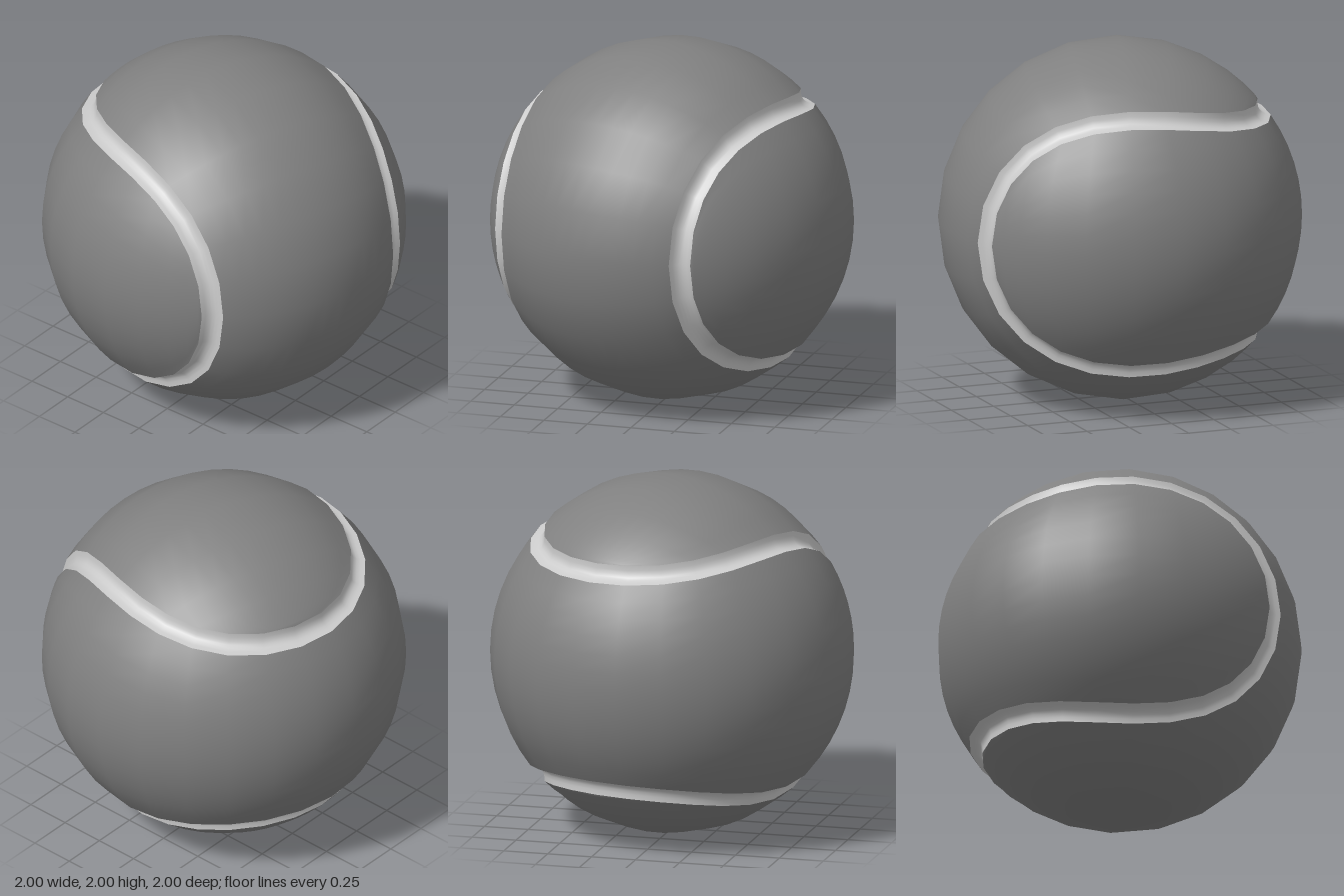
import * as THREE from 'three';
import { mergeVertices } from 'three/addons/utils/BufferGeometryUtils.js';

const SEGMENTS = 48;      // steps along the whole seam
const HALF_WIDTH = 0.059; // half the groove width
const DEPTH = 0.032;      // groove depth
const TURN = 0.308;       // turn of the seam's axis around y

// Closed seam curve on the unit sphere, with lobes at both ends of its axis
function seamPoint(t) {
  const a = 0.8045, b = 0.2155, d = -0.02;
  const x = a * Math.cos(t) + b * Math.cos(3 * t) + d * Math.cos(5 * t);
  const y = a * Math.sin(t) - b * Math.sin(3 * t) + d * Math.sin(5 * t);
  const axial = 0.793 * Math.sin(2 * t);
  const up = (x - y) * Math.SQRT1_2, across = (x + y) * Math.SQRT1_2;
  return new THREE.Vector3(axial, up, across).normalize()
    .applyAxisAngle(new THREE.Vector3(0, 1, 0), -TURN);
}

// Point on the sphere at sideways distance s from the seam
function besideSeam(t, s) {
  const p = seamPoint(t);
  const tangent = seamPoint(t + 0.001).sub(seamPoint(t - 0.001)).normalize();
  return p.clone().addScaledVector(tangent.cross(p).normalize(), s).normalize();
}

// Smooth surface from a grid of points, pointAt(u, v) with u and v from 0 to 1
function gridSurface(nu, nv, pointAt, flip) {
  const positions = [], index = [];
  for (let i = 0; i <= nu; i++)
    for (let j = 0; j <= nv; j++) positions.push(...pointAt(i / nu, j / nv).toArray());
  for (let i = 0; i < nu; i++) {
    for (let j = 0; j < nv; j++) {
      const a = i * (nv + 1) + j, b = a + nv + 1;
      if (flip) index.push(a, a + 1, b, b, a + 1, b + 1);
      else index.push(a, b, a + 1, b, b + 1, a + 1);
    }
  }
  const geometry = new THREE.BufferGeometry();
  geometry.setAttribute('position', new THREE.Float32BufferAttribute(positions, 3));
  geometry.setIndex(index);
  const merged = mergeVertices(geometry, 1e-5);
  merged.computeVertexNormals();
  return merged;
}

// One dumbbell-shaped panel: arcs span from each seam point to its mirror point
function panelGeometry(start, offset, flip) {
  return gridSurface(SEGMENTS / 2, 12, (u, v) => {
    const t = start + u * Math.PI;
    const from = besideSeam(t, offset), to = besideSeam(2 * start - t, offset);
    const angle = from.angleTo(to);
    if (angle < 1e-4) return from;
    return from.multiplyScalar(Math.sin((1 - v) * angle))
      .addScaledVector(to, Math.sin(v * angle)).normalize();
  }, flip);
}

// Rounded channel that follows the seam
function grooveGeometry() {
  return gridSurface(SEGMENTS, 6, (u, v) => {
    const s = 1 - 2 * v;
    return besideSeam(u * Math.PI * 2, s * HALF_WIDTH)
      .multiplyScalar(1 - DEPTH * (1 - s * s));
  }, false);
}

export function createModel() {
  const group = new THREE.Group();
  group.name = 'ball';
  const cover = new THREE.MeshStandardMaterial({ color: 0x808080 });
  const rubber = new THREE.MeshStandardMaterial({ color: 0xcccccc });

  const add = (name, geometry, material) => {
    const mesh = new THREE.Mesh(geometry, material);
    mesh.name = name;
    mesh.position.y = 1;
    group.add(mesh);
  };

  // Two interlocking cover panels
  add('leftPanel', panelGeometry(-Math.PI / 4, -HALF_WIDTH, false), cover);
  add('rightPanel', panelGeometry(Math.PI / 4, HALF_WIDTH, true), cover);
  // Sunken seam between them
  add('seamGroove', grooveGeometry(), rubber);
  return group;
}
